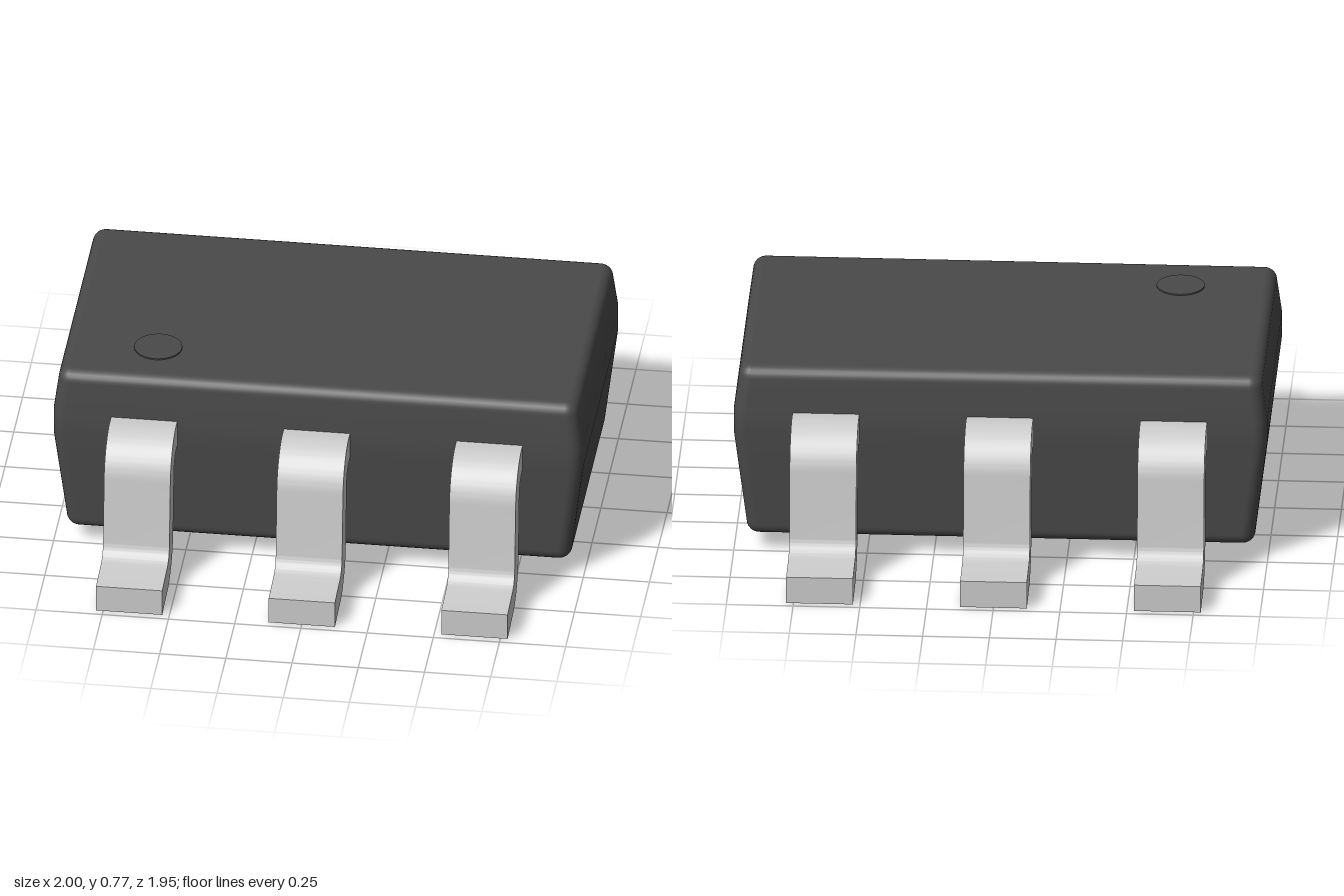
import * as THREE from 'three';
import { toCreasedNormals } from 'three/addons/utils/BufferGeometryUtils.js';

const BOTTOM = 0.07, TOP = 0.765, FILLET = 0.045, CORNER = 0.05, STEPS = 6;

// Closed skin through rounded-rectangle sections [y, halfX, halfZ, cornerRadius], listed bottom to top
function loftSections(sections) {
  const pos = [], idx = [], n = 4 * (STEPS + 1);
  for (const [y, hx, hz, r] of sections) {
    for (let q = 0; q < 4; q++) {
      const sx = q === 0 || q === 3 ? 1 : -1, sz = q < 2 ? 1 : -1;
      for (let s = 0; s <= STEPS; s++) {
        const a = (q + s / STEPS) * Math.PI / 2;
        pos.push(sx * (hx - r) + r * Math.cos(a), y, sz * (hz - r) + r * Math.sin(a));
      }
    }
  }
  const last = (sections.length - 1) * n, low = sections.length * n, high = low + 1;
  pos.push(0, sections[0][0], 0, 0, sections.at(-1)[0], 0);
  for (let i = 0; i < n; i++) {
    const j = (i + 1) % n;
    for (let k = 0; k < last; k += n) {
      idx.push(k + i, k + n + i, k + j, k + j, k + n + i, k + n + j);
    }
    idx.push(low, i, j, high, last + j, last + i);
  }
  const geo = new THREE.BufferGeometry();
  geo.setAttribute('position', new THREE.Float32BufferAttribute(pos, 3));
  geo.setIndex(idx);
  geo.computeVertexNormals();
  return geo;
}

// Package: tapers up and down from a straight belt, with filleted rims
function bodyGeometry() {
  const sections = [];
  const add = (y, inX, inZ, cut = 0) =>
    sections.push([y, 1 - inX - cut, 0.545 - inZ - cut, CORNER - cut]);
  for (let s = 0; s <= STEPS; s++) {
    const a = (s / STEPS) * Math.PI / 2;
    add(BOTTOM + FILLET * (1 - Math.sin(a)) + 0, 0.046, 0.03, FILLET * (1 - Math.cos(a)));
  }
  sections.reverse();
  add(0.49, 0, 0);
  add(0.585, 0, 0);
  for (let s = 0; s <= STEPS; s++) {
    const a = (s / STEPS) * Math.PI / 2;
    add(TOP - FILLET * (1 - Math.sin(a)), 0.018, 0.01, FILLET * (1 - Math.cos(a)));
  }
  return loftSections(sections.sort((p, q) => p[0] - q[0]));
}

// Gull-wing lead: side outline (z, y) extruded across its width
function leadGeometry() {
  const tilt = 0.09, inner = 0.065, outer = 0.17, end = 0.973;
  const up = [0.575, 0.42], down = [0.834, 0.185];
  const footY = (r) => down[1] - r * Math.cos(tilt)
    - Math.tan(tilt) * (end - down[0] + r * Math.sin(tilt));
  const s = new THREE.Shape();
  s.moveTo(0.45, up[1] + outer);
  s.lineTo(up[0], up[1] + outer);
  s.absarc(...up, outer, Math.PI / 2, tilt, true);
  s.absarc(...down, inner, Math.PI + tilt, 1.5 * Math.PI - tilt, false);
  s.lineTo(end, footY(inner));
  s.lineTo(end, footY(outer));
  s.absarc(...down, outer, 1.5 * Math.PI - tilt, Math.PI + tilt, true);
  s.absarc(...up, inner, tilt, Math.PI / 2, false);
  s.lineTo(0.45, up[1] + inner);
  s.closePath();
  const geo = new THREE.ExtrudeGeometry(s, { depth: 0.25, bevelEnabled: false, curveSegments: 14 });
  geo.rotateY(-Math.PI / 2).translate(0.125, 0, 0);
  return toCreasedNormals(geo, 0.5);
}

export function createModel() {
  const model = new THREE.Group();
  model.name = 'chipPackage';
  const dark = new THREE.MeshStandardMaterial({ color: 0x4a4a4a });
  const metal = new THREE.MeshStandardMaterial({ color: 0xcccccc });

  const body = new THREE.Mesh(bodyGeometry(), dark);
  body.name = 'body';
  model.add(body);

  // Pin-one marker, barely raised above the top face
  const marker = new THREE.Mesh(new THREE.CylinderGeometry(0.09, 0.09, 0.02, 40), dark);
  marker.name = 'pinOneMarker';
  marker.position.set(-0.63, 0.76, 0.31);
  model.add(marker);

  // Three leads on each long side
  const lead = leadGeometry();
  for (const side of ['front', 'back']) {
    const row = new THREE.Group();
    row.name = side + 'Leads';
    for (let i = -1; i <= 1; i++) {
      const mesh = new THREE.Mesh(lead, metal);
      mesh.name = side + 'Lead' + (i + 2);
      mesh.position.x = i * 0.652;
      row.add(mesh);
    }
    if (side === 'back') row.rotation.y = Math.PI;
    model.add(row);
  }
  return model;
}
